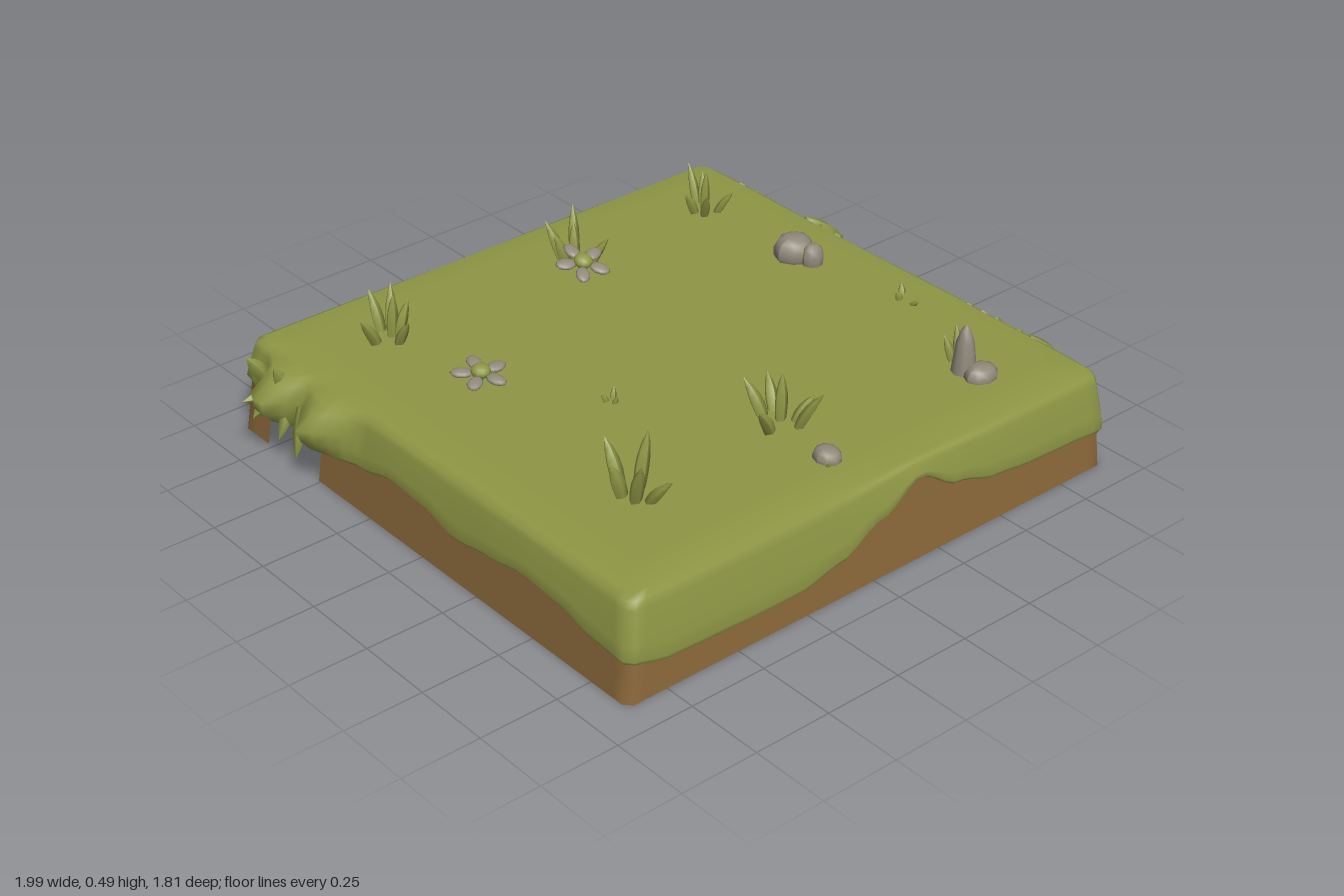
import * as THREE from 'three';

const TOP = 0.31;
const mat = (name, color) => {
  const m = new THREE.MeshStandardMaterial({ color, side: THREE.DoubleSide });
  m.name = name;
  return m;
};
const grass = mat('grass green', 0x8f9745);
const dirt = mat('earth brown', 0x8a683a);
const stone = mat('stone grey', 0x918a7c);

// Height of the turf's ragged lower edge: front, right, back, left
const EDGE = [
  [0.12, 0.09, 0.085, 0.08, 0.08, 0.11, 0.18, 0.255, 0.18, 0.14, 0.125, 0.12, 0.11],
  [0.11, 0.19, 0.2, 0.2, 0.235, 0.2, 0.15, 0.13, 0.11, 0.15, 0.2, 0.19, 0.11],
  [0.1, 0.09, 0.12, 0.15, 0.17, 0.16, 0.13, 0.13, 0.15, 0.17, 0.18, 0.19, 0.18],
  [0.18, 0.14, 0.14, 0.13, 0.14, 0.17, 0.16, 0.13, 0.15, 0.17, 0.16, 0.13, 0.12],
];
const SIDE = 48;
const loop = [];
for (let k = 0; k < 4; k++) {
  for (let i = 0; i < SIDE; i++) {
    const t = 0.012 + 0.976 * i / (SIDE - 1);
    const f = t * 12, j = Math.min(11, Math.floor(f));
    const s = THREE.MathUtils.smoothstep(f - j, 0, 1);
    loop.push({ k, t, edge: THREE.MathUtils.lerp(EDGE[k][j], EDGE[k][j + 1], s) });
  }
}

// Point on the tapered block wall at height y, moved outward by out
function wall({ k, t }, y, out) {
  const a = y / TOP, mix = THREE.MathUtils.lerp;
  const x0 = mix(-0.885, -0.85, a) - out, x1 = mix(0.93, 0.915, a) + out;
  const z0 = mix(-0.905, -0.875, a) - out, z1 = mix(0.9, 0.87, a) + out;
  if (k === 0) return [mix(x0, x1, t), y, z1];
  if (k === 1) return [x1, y, mix(z1, z0, t)];
  if (k === 2) return [mix(x1, x0, t), y, z0];
  return [x0, y, mix(z0, z1, t)];
}

// Closed band of quads through rows of points; optional centre cap
function band(rows, centre, skip = () => false) {
  const n = loop.length, pos = rows.flat(2), idx = [];
  for (let r = 0; r < rows.length - 1; r++) {
    for (let i = 0; i < n; i++) {
      if (skip(loop[i])) continue;
      const a = r * n + i, b = r * n + (i + 1) % n;
      idx.push(a, b, b + n, a, b + n, a + n);
    }
  }
  if (centre) {
    const c = pos.length / 3, o = (rows.length - 1) * n;
    pos.push(...centre);
    for (let i = 0; i < n; i++) idx.push(o + i, o + (i + 1) % n, c);
  }
  const g = new THREE.BufferGeometry();
  g.setAttribute('position', new THREE.Float32BufferAttribute(pos, 3));
  g.setIndex(idx);
  g.computeVertexNormals();
  return g;
}

function add(parent, geometry, material, name, p = [0, 0, 0]) {
  const m = new THREE.Mesh(geometry, material);
  m.name = name;
  m.position.set(...p);
  parent.add(m);
  return m;
}

// Curved pointed leaf from root to tip
function blade(parent, root, tip, w, name = 'grassBlade') {
  const g = new THREE.CylinderGeometry(0, 1, 1, 5, 5);
  const a = new THREE.Vector3(...root), b = new THREE.Vector3(...tip);
  const mid = a.clone().lerp(b, 0.5);
  mid.x += (a.x - b.x) * 0.2;
  mid.z += (a.z - b.z) * 0.2;
  const curve = new THREE.QuadraticBezierCurve3(a, mid, b);
  const dir = b.clone().sub(a).normalize();
  const q = new THREE.Quaternion().setFromUnitVectors(new THREE.Vector3(0, 1, 0), dir);
  const P = g.attributes.position, v = new THREE.Vector3();
  for (let i = 0; i < P.count; i++) {
    const t = P.getY(i) + 0.5, ang = Math.atan2(P.getZ(i), P.getX(i));
    const r = t > 0.99 ? 0 : w * (0.65 + 1.1 * t) * (1 - t * t);
    v.set(Math.cos(ang) * r, 0, Math.sin(ang) * r * 0.7).applyQuaternion(q).add(curve.getPoint(t));
    P.setXYZ(i, v.x, v.y, v.z);
  }
  g.computeVertexNormals();
  add(parent, g, grass, name);
}

// Clump of blades, each given as [x, z, height] at its visible middle
function tuft(parent, cx, cz, blades, w = 0.022) {
  const g = new THREE.Group();
  g.name = 'grassTuft';
  for (const [x, z, h] of blades) {
    const dx = x - cx, dz = z - cz;
    blade(g, [cx + dx * 0.5, TOP - 0.02, cz + dz * 0.5], [cx + dx * 1.25, TOP + h, cz + dz * 1.25], w);
  }
  parent.add(g);
}

// Rounded stone with a flattened top, narrowing towards +z by taper
function rock(parent, name, p, size, taper = 0) {
  const g = new THREE.SphereGeometry(1, 9, 7), P = g.attributes.position;
  for (let i = 0; i < P.count; i++) {
    const x = P.getX(i), y = P.getY(i), z = P.getZ(i);
    const k = 1 - taper * Math.max(0, z);
    P.setXYZ(i, x * k * size[0], Math.min(0.8, y) * 1.25 * size[1], z * size[2]);
  }
  g.computeVertexNormals();
  return add(parent, g, stone, name, p);
}

function flower(parent, x, z, y, tilt, turn) {
  const g = new THREE.Group();
  g.name = 'flower';
  g.position.set(x, y, z);
  g.rotation.set(tilt, turn, 0);
  const heart = add(g, new THREE.SphereGeometry(0.03, 10, 8), grass, 'flowerCentre', [0, 0.008, 0]);
  heart.scale.y = 0.7;
  for (let i = 0; i < 5; i++) {
    const a = i * Math.PI * 2 / 5;
    const petal = add(g, new THREE.SphereGeometry(1, 10, 6), stone, 'petal', [Math.cos(a) * 0.055, 0, Math.sin(a) * 0.055]);
    petal.scale.set(0.034, 0.011, 0.023);
    petal.rotation.y = -a;
  }
  parent.add(g);
  add(parent, new THREE.CylinderGeometry(0.007, 0.009, y - TOP + 0.02, 6), grass, 'flowerStem', [x, (y + TOP - 0.02) / 2, z]);
}

export function createModel() {
  const model = new THREE.Group();
  model.name = 'grassTile';

  // Earth wall, with a gap in the right-hand side behind the overgrowth
  const earthRows = [0, 0.5, 1].map(f => loop.map(s => wall(s, s.edge * f, 0)));
  add(model, band(earthRows, null, s => s.k === 3 && s.t > 0.055 && s.t < 0.2), dirt, 'earthWall');

  // Turf skirt with bulges, rolled rim and flat lawn
  const bulge = (s, y) => {
    if (s.k !== 3) return 0;
    const z = -0.905 + 1.805 * s.t;
    const peak = (c, w) => Math.max(0, 1 - Math.abs(z - c) / w);
    const h = Math.max(0, 1 - Math.abs(y - 0.22) / 0.12);
    return h * 0.125 * Math.max(peak(-0.47, 0.14), Math.min(1, 1.6 * peak(-0.69, 0.1)));
  };
  const turfRows = [[0, 0.002], [0.08, 0.012], [0.3, 0.01], [0.55, 0.006], [0.8, 0.002], [0.93, -0.003]].map(
    ([f, out]) => loop.map(s => {
      const y = THREE.MathUtils.lerp(s.edge, TOP, f), b = bulge(s, y);
      const p = wall(s, y, out);
      p[0] -= b;
      return p;
    }));
  turfRows.push(loop.map(s => wall(s, TOP, -0.02)), loop.map(s => wall(s, TOP + 0.001, -0.12)));
  add(model, band(turfRows, [0.02, TOP + 0.001, 0]), grass, 'turf');

  // Grass tufts
  tuft(model, -0.54, -0.61, [[-0.63, -0.6, 0.1], [-0.54, -0.69, 0.12], [-0.49, -0.67, 0.13], [-0.49, -0.6, 0.11], [-0.54, -0.53, 0.09], [-0.525, -0.61, 0.14]]);
  tuft(model, 0.16, -0.61, [[0.13, -0.69, 0.12], [0.21, -0.68, 0.15], [0.12, -0.64, 0.1], [0.18, -0.64, 0.12], [0.21, -0.54, 0.1]]);
  tuft(model, 0.69, -0.62, [[0.71, -0.7, 0.12], [0.74, -0.68, 0.09], [0.63, -0.62, 0.08], [0.65, -0.56, 0.09], [0.73, -0.55, 0.08], [0.7, -0.62, 0.13]], 0.019);
  tuft(model, -0.53, 0.49, [[-0.53, 0.4, 0.13], [-0.58, 0.48, 0.11], [-0.48, 0.49, 0.18], [-0.56, 0.56, 0.14], [-0.505, 0.6, 0.09]], 0.026);
  tuft(model, 0.02, 0.48, [[-0.01, 0.39, 0.11], [0.07, 0.38, 0.09], [0.035, 0.47, 0.15], [-0.08, 0.52, 0.1], [0.09, 0.52, 0.08], [0.06, 0.58, 0.13]], 0.024);
  tuft(model, 0.64, 0.58, [[0.62, 0.54, 0.08], [0.66, 0.54, 0.1]], 0.018);
  tuft(model, -0.27, 0.09, [[-0.29, 0.08, 0.03], [-0.25, 0.075, 0.035], [-0.27, 0.11, 0.025]], 0.012);
  tuft(model, 0.78, 0.2, [[0.8, 0.17, 0.03], [0.755, 0.2, 0.03], [0.77, 0.26, 0.02]], 0.015);
  tuft(model, -0.02, 0.72, [[-0.035, 0.74, 0.015], [-0.01, 0.74, 0.015]], 0.012);

  // Flowers
  flower(model, 0.11, -0.51, 0.37, 0.3, 0.3);
  flower(model, -0.485, -0.24, 0.335, 0.1, 0);

  // Stones
  rock(model, 'broadStone', [0.7, 0.335, -0.2], [0.068, 0.048, 0.065], 0.3);
  rock(model, 'broadStoneToe', [0.715, 0.33, -0.135], [0.037, 0.045, 0.035]);
  rock(model, 'pebble', [-0.008, 0.315, 0.705], [0.04, 0.03, 0.046]);
  rock(model, 'standingStoneBase', [0.625, 0.315, 0.675], [0.056, 0.035, 0.045]);
  const spire = new THREE.LatheGeometry([[0.04, -0.02], [0.034, 0.04], [0.027, 0.1], [0.014, 0.14], [0, 0.155]].map(p => new THREE.Vector2(...p)), 8);
  add(model, spire, stone, 'standingStone', [0.61, TOP, 0.62]);

  // Leaves hanging over the left-hand edge: [z, tip z, tip x, tip y]
  const hanging = [
    [0.36, 0.32, 0.955, 0.22], [0.42, 0.38, 0.96, 0.24], [0.47, 0.45, 0.965, 0.23], [0.51, 0.53, 0.975, 0.19],
    [0.56, 0.55, 0.96, 0.21], [0.6, 0.64, 0.98, 0.25], [-0.22, -0.28, 0.97, 0.26], [-0.3, -0.3, 0.99, 0.25],
    [-0.37, -0.32, 0.975, 0.27], [-0.55, -0.52, 0.945, 0.22], [-0.61, -0.6, 0.96, 0.2], [-0.67, -0.71, 0.95, 0.23],
  ];
  for (const [z, tz, tx, ty] of hanging) blade(model, [0.9, 0.3, z], [tx, ty, tz], 0.026, 'hangingLeaf');

  // Overgrowth around the gap on the opposite edge
  const overgrowth = [
    [-0.76, -0.77, -0.94, 0.32], [-0.7, -0.71, -1, 0.22], [-0.64, -0.62, -0.94, 0.11],
    [-0.58, -0.57, -0.92, 0.06], [-0.72, -0.74, -0.95, 0.13], [-0.66, -0.65, -0.92, 0.33],
  ];
  for (const [z, tz, tx, ty] of overgrowth) blade(model, [-0.88, 0.22, z], [tx, ty, tz], 0.028, 'overgrowthLeaf');

  return model;
}
